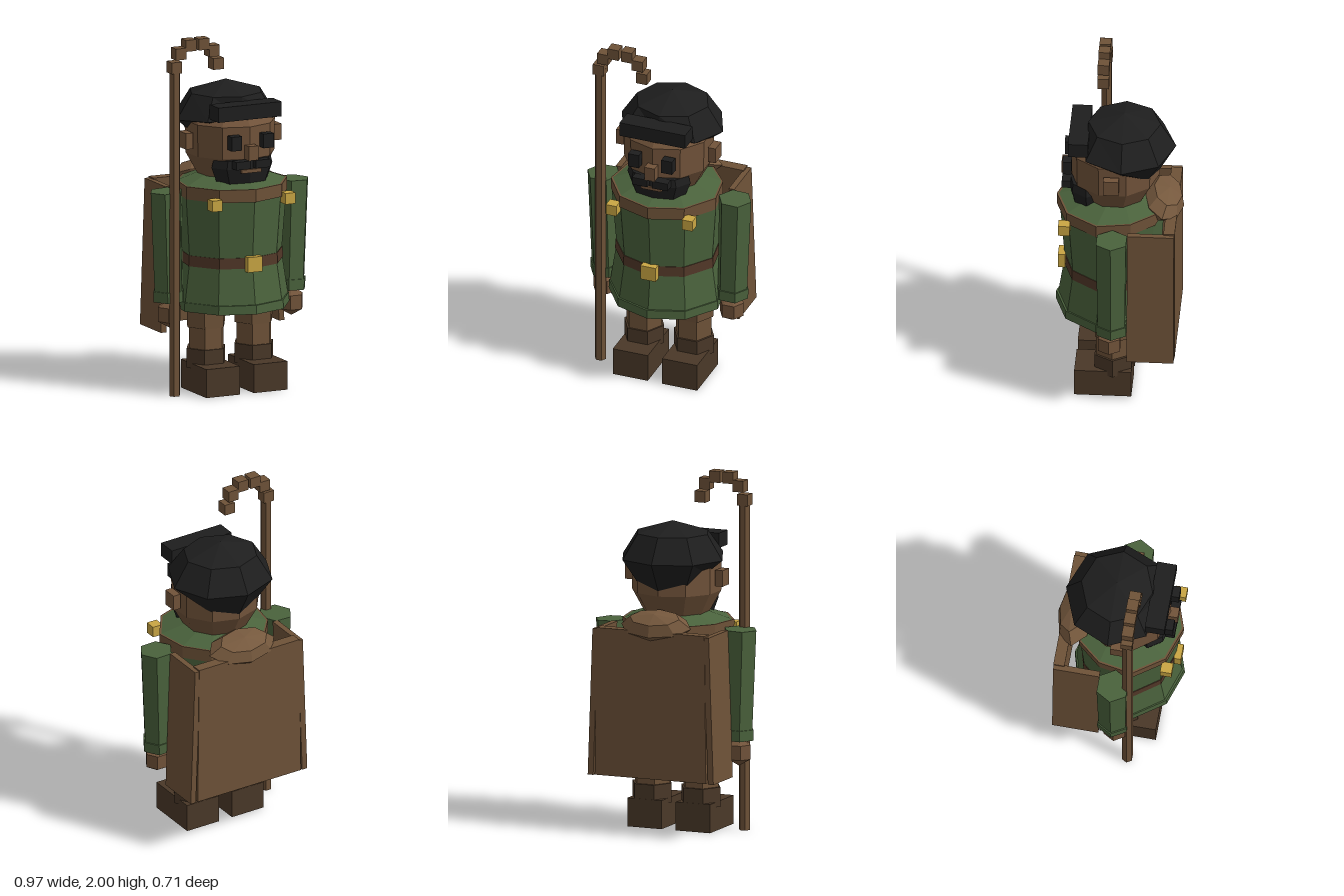
import * as THREE from 'three';

const paint = (name, color) => {
  const m = new THREE.MeshStandardMaterial({ color, flatShading: true });
  m.name = name;
  return m;
};

export function createModel() {
  const green = paint('green cloth', 0x4a623c);
  const wood = paint('wood brown', 0x6e5238);
  const skin = paint('skin', 0x71533a);
  const hide = paint('light hide', 0x75583d);
  const leather = paint('boot leather', 0x4a3828);
  const strap = paint('belt brown', 0x523828);
  const black = paint('black', 0x1e1e1e);
  const gold = paint('gold', 0xc9a643);

  const model = new THREE.Group();
  model.name = 'shepherd';

  const add = (name, geo, mat, x = 0, y = 0, z = 0) => {
    const mesh = new THREE.Mesh(geo, mat);
    mesh.name = name;
    mesh.position.set(x, y, z);
    model.add(mesh);
    return mesh;
  };
  const box = (name, mat, w, h, d, x, y, z) =>
    add(name, new THREE.BoxGeometry(w, h, d), mat, x, y, z);
  // Move every vertex by a rule
  const bend = (geo, rule) => {
    const p = geo.attributes.position;
    const v = new THREE.Vector3();
    for (let i = 0; i < p.count; i++) {
      rule(v.fromBufferAttribute(p, i));
      p.setXYZ(i, v.x, v.y, v.z);
    }
    return geo;
  };
  const turned = (profile, sides) =>
    new THREE.LatheGeometry(profile.map(([r, y]) => new THREE.Vector2(r, y)), sides);
  // Six-sided tube with corners pointing sideways
  const hex = (rTop, rBottom, h) =>
    new THREE.CylinderGeometry(rTop, rBottom, h, 6, 1, false, Math.PI / 2);

  // Ten-sided body ring, narrower and shallower behind
  const ring = (name, mat, y0, y1, r0, r1, width = 1) => {
    const geo = new THREE.CylinderGeometry(r1, r0, y1 - y0, 10);
    bend(geo, (v) => {
      v.x *= width;
      if (v.z < -0.001) {
        v.x *= 0.9;
        v.z *= 0.76;
      }
    });
    return add(name, geo, mat, 0, (y0 + y1) / 2, 0);
  };

  // Tunic, belt and collar
  ring('tunicHem', green, 0.47, 0.52, 0.35, 0.347, 0.97);
  ring('tunicSkirt', green, 0.52, 0.75, 0.335, 0.3, 0.99);
  ring('tunicChest', green, 0.75, 1.11, 0.3, 0.328, 0.99);
  ring('belt', strap, 0.72, 0.78, 0.308, 0.306, 0.99);
  ring('collarBand', wood, 1.1, 1.172, 0.342, 0.344, 0.95);
  ring('shoulderYoke', green, 1.17, 1.215, 0.338, 0.2, 0.95);
  box('beltBuckle', gold, 0.09, 0.085, 0.04, 0, 0.748, 0.315);

  // Cape: a back slab and two side panels that spread toward the bottom
  const capeBack = new THREE.BoxGeometry(0.672, 0.825, 0.062);
  bend(capeBack, (v) => {
    if (v.y < 0 && v.z > 0) v.z -= 0.03;
    if (v.y > 0) v.x *= 0.97;
  });
  add('capeBack', capeBack, wood, 0, 0.7375, -0.297);

  for (const s of [-1, 1]) {
    const capeSide = new THREE.BoxGeometry(0.033, 0.82, 0.258);
    bend(capeSide, (v) => { v.x -= s * v.y * 0.035; });
    add('capeSide', capeSide, wood, s * 0.349, 0.732, -0.196);
    box('collarButton', gold, 0.062, 0.062, 0.064, s * 0.225, 1.095, 0.288);

    // Arm, leaning slightly in toward the cuff
    const arm = new THREE.Group();
    arm.name = 'arm';
    const sleeve = new THREE.Mesh(hex(0.095, 0.086, 0.6), green);
    sleeve.name = 'sleeve';
    const cuff = new THREE.Mesh(hex(0.094, 0.094, 0.06), green);
    cuff.name = 'cuff';
    cuff.position.y = -0.287;
    arm.add(sleeve, cuff);
    arm.position.set(s * 0.381, 0.838, 0.016);
    arm.rotation.z = -s * 0.028;
    model.add(arm);
    add('hand', new THREE.SphereGeometry(0.08, 6, 3), skin, s * 0.375, 0.45, 0.028);

    // Leg and boot
    add('thigh', hex(0.12, 0.115, 0.14), wood, s * 0.146, 0.43, 0.02);
    add('shin', hex(0.106, 0.106, 0.16), wood, s * 0.146, 0.3, 0.022);
    add('bootShaft', hex(0.118, 0.118, 0.11), leather, s * 0.147, 0.187, 0.02);
    box('boot', leather, 0.207, 0.16, 0.315, s * 0.146, 0.08, 0.074);

    // Face parts that come in pairs
    box('eye', black, 0.064, 0.08, 0.05, s * 0.098, 1.43, 0.28);
    box('ear', skin, 0.045, 0.09, 0.085, s * 0.272, 1.417, 0.027);
    box('mustache', black, 0.09, 0.045, 0.05, s * 0.06, 1.305, 0.285);
  }

  // Hood folded behind the neck
  add('foldedHood', new THREE.SphereGeometry(1, 8, 4).scale(0.21, 0.08, 0.118), hide,
    0, 1.168, -0.25).rotation.x = -0.4;

  // Head and beard
  const skull = turned([[0, -0.26], [0.17, -0.24], [0.247, -0.1], [0.25, 0.08],
    [0.2, 0.14], [0, 0.18]], 10);
  add('head', skull, skin, 0, 1.43, 0.022);
  box('nose', skin, 0.06, 0.08, 0.07, 0, 1.37, 0.28);
  const beard = turned([[0, -0.085], [0.15, -0.078], [0.187, 0.02], [0.175, 0.065], [0, 0.085]], 8);
  add('beard', beard.scale(1, 1, 0.61), black, 0, 1.257, 0.17);
  box('mouth', skin, 0.12, 0.02, 0.02, 0, 1.266, 0.281);

  // Cap: flat-fronted dome whose rim slopes down to the nape
  const cap = turned([[0, -0.16], [0.205, -0.16], [0.3, 0], [0.21, 0.14], [0, 0.205]], 8);
  bend(cap, (v) => {
    v.z = Math.min(v.z * 0.95, 0.21);
    v.y = Math.max(v.y, -0.075 + 0.45 * v.z);
  });
  add('cap', cap, black, 0, 1.52, -0.03);
  box('capBrim', black, 0.388, 0.083, 0.11, 0, 1.593, 0.215);

  // Staff with a stepped crook
  add('staffPole', hex(0.032, 0.032, 1.85), wood, -0.377, 0.925, 0.095);
  const crook = [[-0.378, 1.85], [-0.352, 1.925], [-0.29, 1.968],
    [-0.21, 1.968], [-0.147, 1.925], [-0.122, 1.85]];
  for (const [x, y] of crook) box('staffCrook', wood, 0.064, 0.064, 0.064, x, y, 0.095);

  return model;
}
